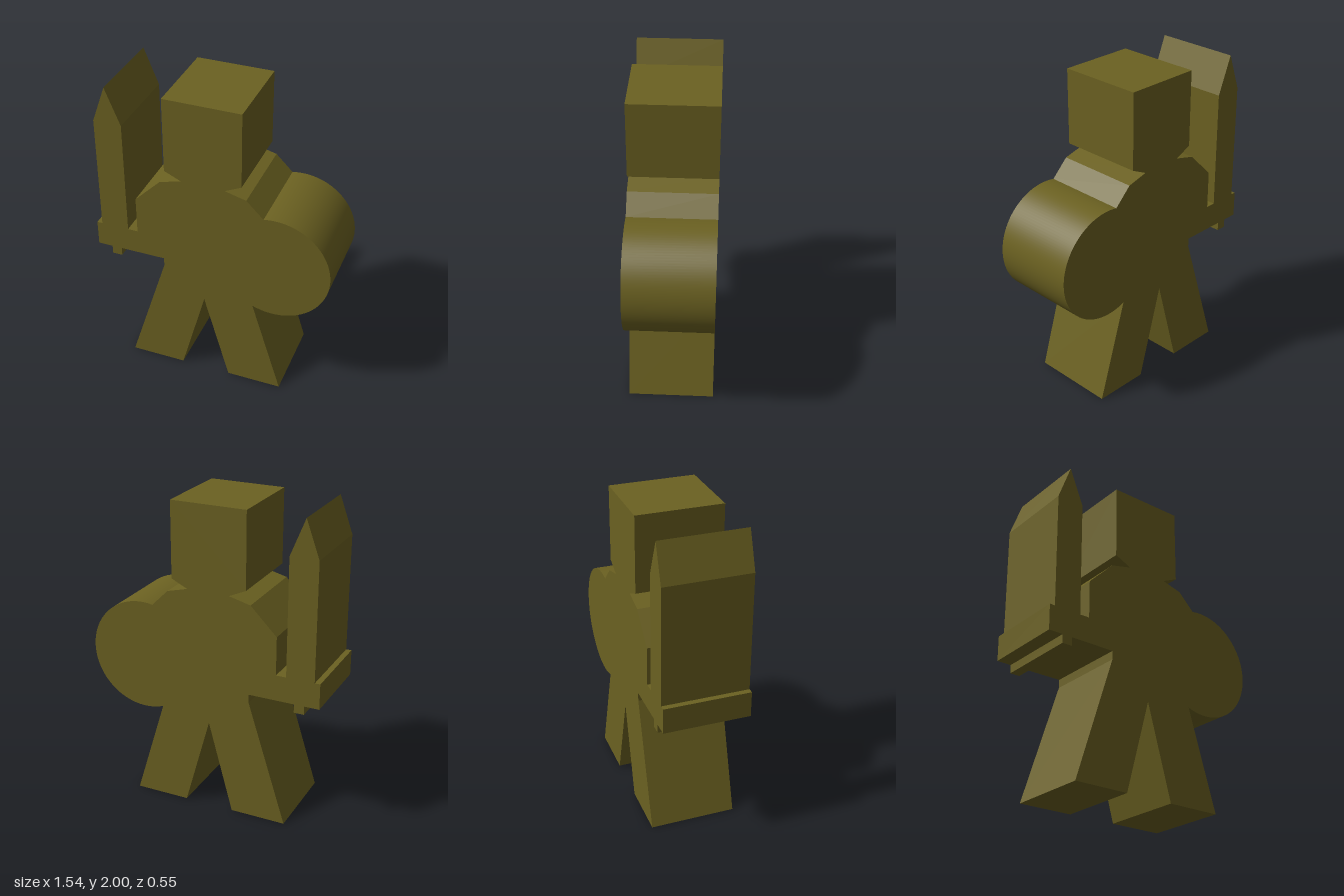
import * as THREE from 'three';
import { toCreasedNormals } from 'three/addons/utils/BufferGeometryUtils.js';

const DEPTH = 0.545;

export function createModel() {
  const group = new THREE.Group();
  group.name = 'swordFighter';
  const outline = new THREE.Shape();
  const trace = (points) => points.forEach(([x, y]) => outline.lineTo(x, y));

  // left leg
  outline.moveTo(0.12, 0);
  trace([[0.475, 0], [0.28, 0.642]]);

  // round shield, from the hip round to the shoulder
  const cx = 0.41, cy = 0.973, r = 0.356;
  const start = Math.atan2(0.642 - cy, 0.28 - cx);
  const end = Math.atan2(1.325 - cy, 0.338 - cx);
  outline.absarc(cx, cy, r, start, end, false);

  // left shoulder and neck
  trace([[0.23, 1.43], [0.095, 1.465]]);

  // square head with a tapered jaw
  trace([[0.2, 1.515], [0.2, 2], [-0.29, 2], [-0.29, 1.515], [-0.18, 1.465]]);

  // right shoulder and upper arm
  trace([[-0.32, 1.43], [-0.49, 1.26], [-0.49, 1.015]]);

  // sword blade
  trace([[-0.555, 1.015], [-0.555, 1.765], [-0.65, 2], [-0.735, 1.765], [-0.735, 1.015]]);

  // hand and pommel
  trace([[-0.77, 1.015], [-0.77, 0.85], [-0.675, 0.85], [-0.675, 0.795], [-0.61, 0.795], [-0.61, 0.85]]);

  // hip and right leg, up to the crotch
  trace([[-0.315, 0.85], [-0.315, 0.795], [-0.565, 0], [-0.205, 0], [-0.045, 0.595]]);
  outline.closePath();

  // one solid slab; the shield rim is smooth, all other edges sharp
  const slab = new THREE.ExtrudeGeometry(outline, { depth: DEPTH, bevelEnabled: false, curveSegments: 40 });
  slab.translate(0, 0, -DEPTH / 2);
  const figure = new THREE.Mesh(
    toCreasedNormals(slab, 0.3),
    new THREE.MeshStandardMaterial({ color: 0x6b6121 })
  );
  figure.name = 'figureWithSwordAndShield';
  group.add(figure);
  return group;
}
